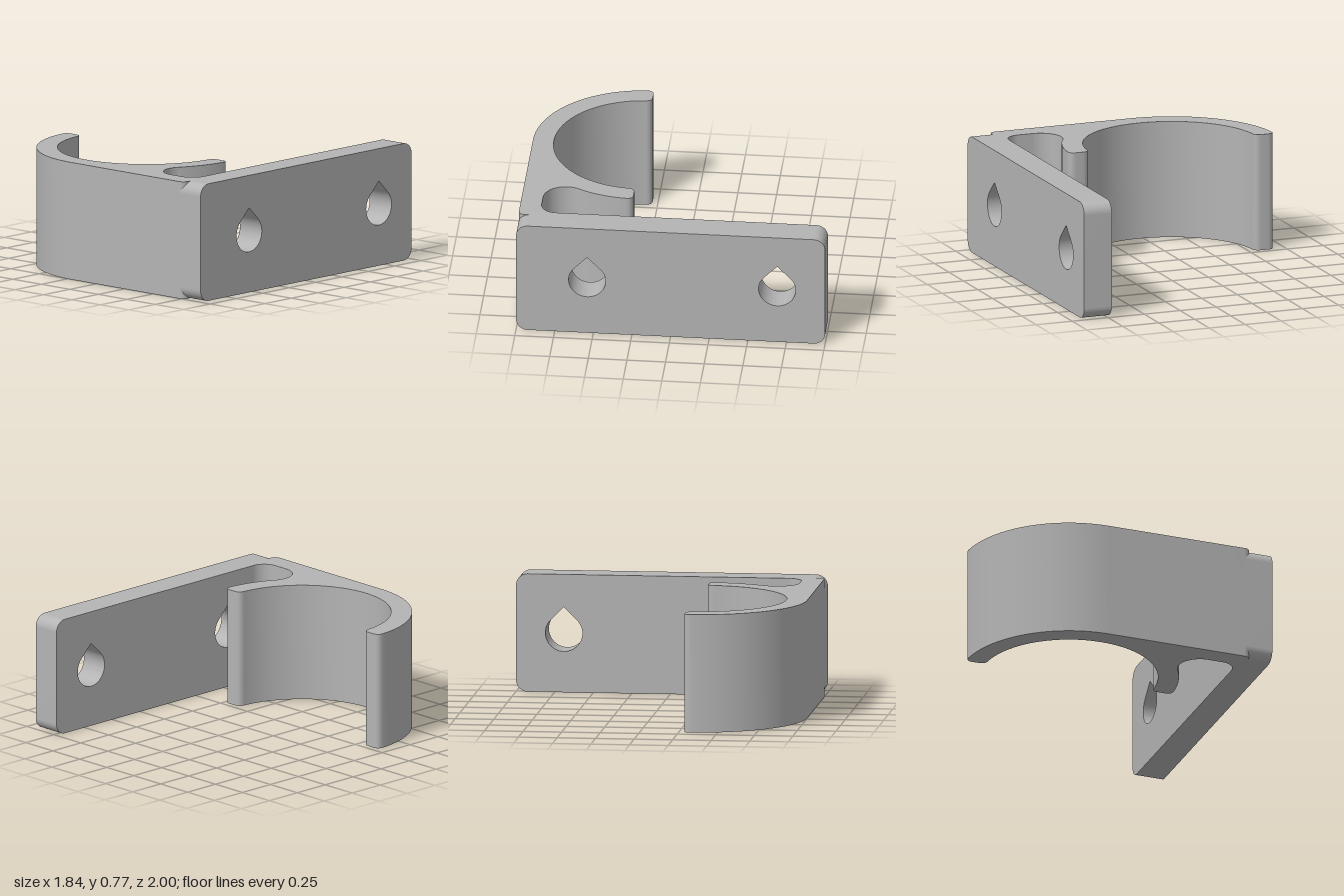
import * as THREE from 'three';
import { toCreasedNormals } from 'three/addons/utils/BufferGeometryUtils.js';

const H = 0.768;            // height of the whole bracket
const PLATE_X = 0.725;      // inner face of the mounting plate
const PLATE_T = 0.192;

function extrude(shape, depth) {
  return new THREE.ExtrudeGeometry(shape, { depth, bevelEnabled: false, curveSegments: 28 });
}

// Rounded plate with two teardrop screw holes, drawn in (-z, y)
function plateGeometry() {
  const r = 0.075, q = Math.PI / 2;
  const s = new THREE.Shape();
  s.absarc(1 - r, r, r, -q, 0);
  s.absarc(1 - r, H - r, r, 0, q);
  s.absarc(-1 + r, H - r, r, q, 2 * q);
  s.absarc(-1 + r, r, r, 2 * q, 3 * q);
  s.closePath();
  for (const z of [0.54, -0.69]) {
    const hole = new THREE.Path();
    const hr = 0.12, cy = 0.386;
    hole.absarc(-z, cy, hr, Math.PI * 0.75, Math.PI * 2.25, false);
    hole.lineTo(-z, cy + hr * Math.SQRT2);
    hole.closePath();
    s.holes.push(hole);
  }
  const g = extrude(s, PLATE_T);
  g.rotateY(Math.PI / 2);
  g.translate(PLATE_X, 0, 0);
  return toCreasedNormals(g, 0.5);
}

// Open C-shaped cradle with its arm to the plate, drawn in (x, z)
function cradleGeometry() {
  const cx = -0.215, cz = 0.29, R = 0.71, r = 0.575;
  const top = 0.285, c = 0.045, end = top + c;
  const aOut = Math.asin((end - cz) / R), aIn = Math.asin((end - cz) / r);
  const slotR = 0.145, a = Math.PI / 6;
  const sx = cx + (R + slotR) * Math.cos(a), sz = cz + (R + slotR) * Math.sin(a);
  const floor = sz + slotR;

  const s = new THREE.Shape();
  // outer wall and left tip
  s.absarc(cx, cz, R, Math.PI / 2, Math.PI - aOut, false);
  s.quadraticCurveTo(cx - R, top, cx - R + c, top);
  s.lineTo(cx - r - c, top);
  s.quadraticCurveTo(cx - r, top, cx - r * Math.cos(aIn), end);
  // inner wall and right tip
  s.absarc(cx, cz, r, Math.PI - aIn, aIn, true);
  s.quadraticCurveTo(cx + r, top, cx + r + c, top);
  s.lineTo(cx + R - c, top);
  s.quadraticCurveTo(cx + R, top, cx + R * Math.cos(aOut), end);
  s.absarc(cx, cz, R, aOut, a, false);
  // rounded relief slot between cradle and plate
  s.absarc(sx, sz, slotR, Math.PI + a, Math.PI / 2, true);
  s.absarc(PLATE_X - 0.1, floor - 0.1, 0.1, Math.PI / 2, 0, true);
  // rounded end buried in the plate
  s.lineTo(0.768, floor - 0.1);
  s.absarc(0.768 - 0.04, 0.96, 0.04, 0, Math.PI / 2, false);
  s.closePath();

  const g = extrude(s, H);
  g.rotateX(Math.PI / 2);
  g.translate(0, H, 0);
  return toCreasedNormals(g, 0.5);
}

export function createModel() {
  const grey = new THREE.MeshStandardMaterial({ color: 0xb4b4b4 });
  grey.name = 'grey plastic';
  const model = new THREE.Group();
  model.name = 'wallBracket';
  const add = (name, geometry) => {
    const mesh = new THREE.Mesh(geometry, grey);
    mesh.name = name;
    model.add(mesh);
  };
  add('mountingPlate', plateGeometry());
  add('cradle', cradleGeometry());
  return model;
}
